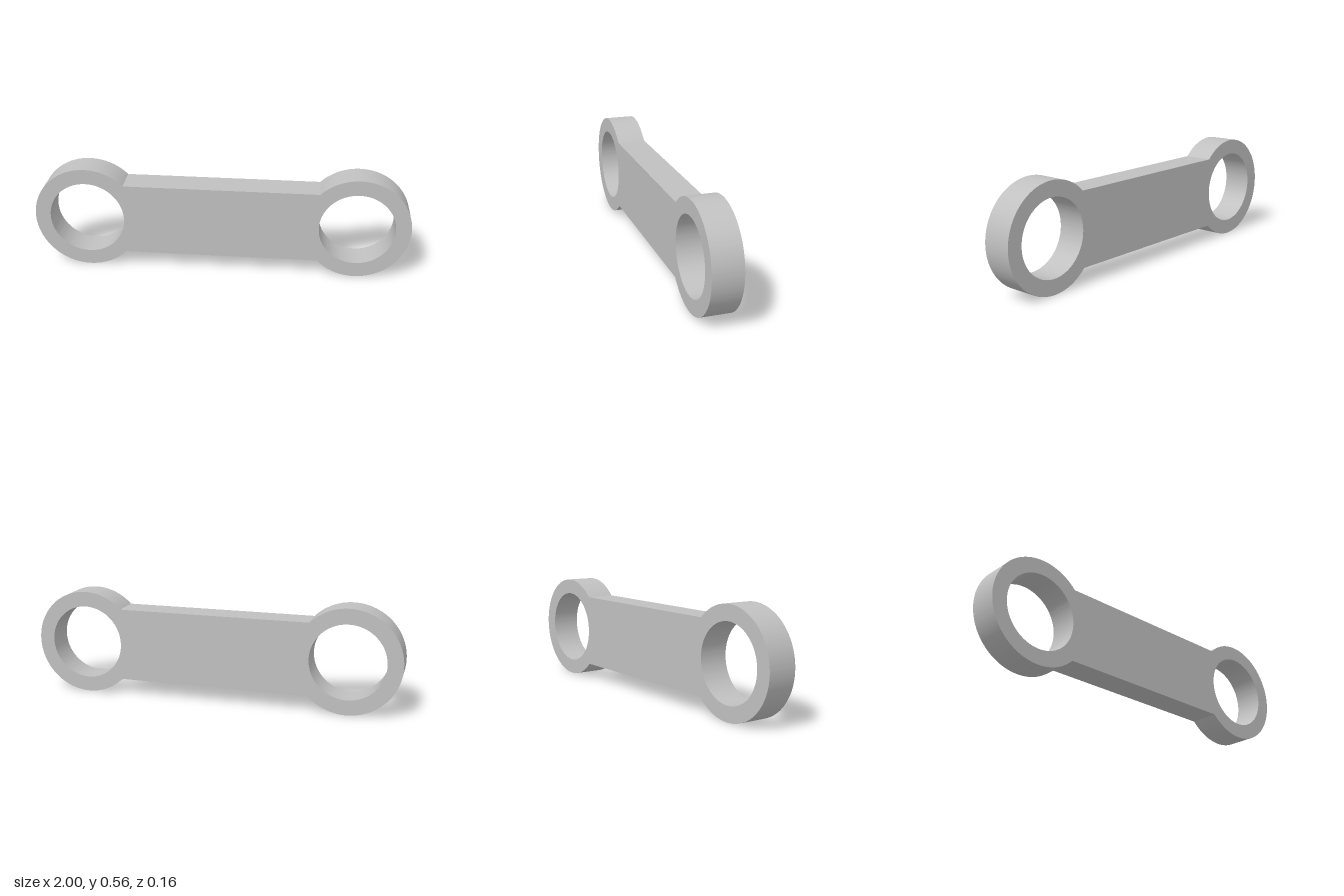
import * as THREE from 'three';
import { toCreasedNormals } from 'three/addons/utils/BufferGeometryUtils.js';

const RING_R = 0.2815; // outer radius of each end ring
const HOLE_R = 0.2;
const RING_X = 1 - RING_R; // ring centre
const BAR_HALF = 0.196; // half height of the connecting bar
const DEPTH = 0.156;

export function createModel() {
  const group = new THREE.Group();
  group.name = 'connectingLink';
  const grey = new THREE.MeshStandardMaterial({ color: 0xc0c0c0 });
  grey.name = 'grey metal';

  // Outline: two round ends joined by straight bar edges
  const a = Math.asin(BAR_HALF / RING_R);
  const outline = new THREE.Shape();
  outline.absarc(RING_X, RING_R, RING_R, a - Math.PI, Math.PI - a, false);
  outline.absarc(-RING_X, RING_R, RING_R, a, 2 * Math.PI - a, false);
  outline.closePath();

  // Bore through each end
  for (const side of [-1, 1]) {
    const bore = new THREE.Path();
    bore.absarc(side * RING_X, RING_R, HOLE_R, 0, 2 * Math.PI, true);
    outline.holes.push(bore);
  }

  const body = new THREE.ExtrudeGeometry(outline, { depth: DEPTH, bevelEnabled: false, curveSegments: 72 });
  body.translate(0, 0, -DEPTH / 2);
  const link = new THREE.Mesh(toCreasedNormals(body, Math.PI / 6), grey);
  link.name = 'linkBody';
  group.add(link);
  return group;
}
